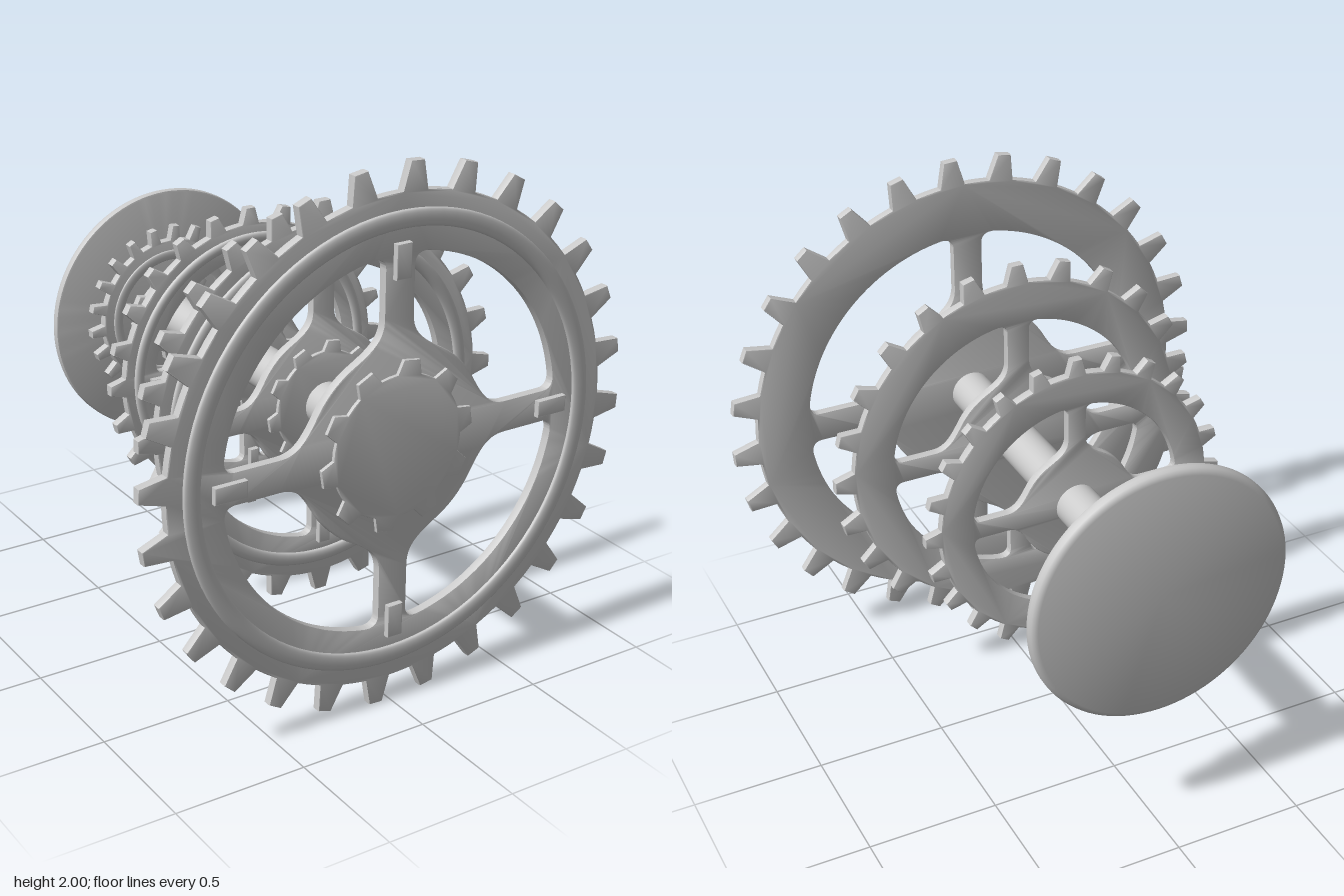
import * as THREE from 'three';
import { toCreasedNormals } from 'three/addons/utils/BufferGeometryUtils.js';

const material = new THREE.MeshStandardMaterial({ color: 0xcccccc });
const THICK = 0.037;

function addMesh(parent, name, geometry, x = 0, y = 0, z = 0) {
  const mesh = new THREE.Mesh(geometry, material);
  mesh.name = name;
  mesh.position.set(x, y, z);
  parent.add(mesh);
  return mesh;
}

// Closed gear outline; tipW and rootW are half widths as a fraction of the pitch
function gearShape(teeth, tip, root, offset, tipW, rootW) {
  const pitch = (Math.PI * 2) / teeth;
  const pts = [];
  for (let i = 0; i < teeth; i++) {
    const a = offset + i * pitch;
    const steps = [[-rootW, root], [-tipW, tip], [tipW, tip], [rootW, root], [0.5, root]];
    for (const [f, r] of steps) {
      pts.push(new THREE.Vector2(Math.cos(a + f * pitch) * r, Math.sin(a + f * pitch) * r));
    }
  }
  return new THREE.Shape(pts);
}

// Window between two spokes, for a wheel of radius 1 (first quadrant)
function windowPoints() {
  const w = 0.06, R = 0.69, r = 0.37, a = 0.16, b = 0.5;
  const p = new THREE.Path();
  const H = Math.PI / 2;
  p.moveTo(w, 0.64);
  p.quadraticCurveTo(w, 0.685, Math.sin(a) * R, Math.cos(a) * R);
  p.absarc(0, 0, R, H - a, a, true);
  p.quadraticCurveTo(0.685, w, 0.64, w);
  p.lineTo(0.47, w);
  p.bezierCurveTo(0.4, w, 0.37, 0.1, Math.cos(b) * r, Math.sin(b) * r);
  p.absarc(0, 0, r, b, H - b, false);
  p.bezierCurveTo(0.1, 0.37, w, 0.4, w, 0.47);
  const pts = p.getPoints(14);
  return pts.filter((v, i) => v.distanceTo(pts[(i + 1) % pts.length]) > 1e-4);
}

function extrude(shape, depth, bevel) {
  const geo = new THREE.ExtrudeGeometry(shape, {
    depth: depth - 2 * bevel, bevelThickness: bevel, bevelSize: bevel,
    bevelOffset: -bevel, bevelSegments: 2, curveSegments: 16,
  });
  geo.translate(0, 0, bevel);
  return toCreasedNormals(geo, 0.6);
}

// Rounded raised ring on a front face
function bead(inner, outer, height) {
  const pts = [];
  for (let i = 0; i <= 10; i++) {
    const t = (i / 10) * Math.PI;
    pts.push(new THREE.Vector2((inner + outer) / 2 + (Math.cos(t) * (outer - inner)) / 2,
      height * Math.pow(Math.sin(t), 0.6)));
  }
  return new THREE.LatheGeometry(pts, 96).rotateX(Math.PI / 2);
}

// Four-spoke gear wheel whose back face lies at z
function spokedWheel(name, s, teeth, offset, z) {
  const wheel = new THREE.Group();
  wheel.name = name;
  wheel.position.z = z;

  const shape = gearShape(teeth, s, 0.9 * s, offset, 0.12, 0.25);
  const quarter = windowPoints();
  for (let i = 0; i < 4; i++) {
    const origin = new THREE.Vector2();
    const pts = quarter.map((v) => v.clone().multiplyScalar(s).rotateAround(origin, (i * Math.PI) / 2));
    shape.holes.push(new THREE.Path(pts));
  }
  addMesh(wheel, 'toothedRimAndSpokes', extrude(shape, THICK, 0.005));
  addMesh(wheel, 'rimBead', bead(0.775 * s, 0.84 * s, 0.015), 0, 0, THICK - 0.001);

  // Lobed cap over the hub
  const cap = gearShape(10, 0.315 * s, 0.265 * s, Math.PI / 20, 0.17, 0.3);
  addMesh(wheel, 'hubCap', extrude(cap, 0.022, 0.004), 0, 0, THICK - 0.008);

  // Small raised blocks at the spoke ends
  for (let i = 0; i < 4; i++) {
    const a = (i * Math.PI) / 2;
    const w = 0.062 * s, l = 0.125 * s;
    const block = new THREE.Shape([
      new THREE.Vector2(-l / 2, -w / 2), new THREE.Vector2(l / 2, -w / 2),
      new THREE.Vector2(l / 2, w / 2), new THREE.Vector2(-l / 2, w / 2),
    ]);
    const mesh = addMesh(wheel, 'spokeBlock', extrude(block, 0.03, 0.005),
      Math.cos(a) * 0.668 * s, Math.sin(a) * 0.668 * s, THICK - 0.008);
    mesh.rotation.z = a;
  }
  return wheel;
}

export function createModel() {
  const model = new THREE.Group();
  model.name = 'gearShaft';
  const body = new THREE.Group();
  body.name = 'gearStack';
  body.position.y = 1;
  model.add(body);

  // Shaft
  const shaft = new THREE.CylinderGeometry(0.082, 0.082, 1.54, 48).rotateX(Math.PI / 2);
  addMesh(body, 'shaft', shaft, 0, 0, 0.015);

  // Wheels, large at the front to small at the back
  body.add(spokedWheel('largeWheel', 1, 28, -0.06, 0.763));
  body.add(spokedWheel('middleWheel', 0.755, 24, 0, 0.313));
  body.add(spokedWheel('smallWheel', 0.6, 24, 0, -0.172));

  // Solid rear gear with its stepped hub
  const rear = gearShape(22, 0.362, 0.305, 0.07, 0.14, 0.26);
  addMesh(body, 'rearGear', extrude(rear, 0.04, 0.004), 0, 0, -0.783);
  addMesh(body, 'rearGearBead', bead(0.225, 0.265, 0.008), 0, 0, -0.744);
  const hub = gearShape(10, 0.19, 0.16, Math.PI / 20, 0.17, 0.3);
  addMesh(body, 'rearHub', extrude(hub, 0.035, 0.004), 0, 0, -0.748);

  // Round end plate with softened edges
  const profile = [[0, -0.825], [0.475, -0.825], [0.488, -0.821], [0.496, -0.812],
    [0.5, -0.8], [0.5, -0.785], [0.497, -0.779], [0.49, -0.777], [0, -0.777]]
    .map(([r, z]) => new THREE.Vector2(r, z));
  const plate = new THREE.LatheGeometry(profile, 96).rotateX(Math.PI / 2);
  addMesh(body, 'endPlate', toCreasedNormals(plate, 0.6));

  return model;
}
